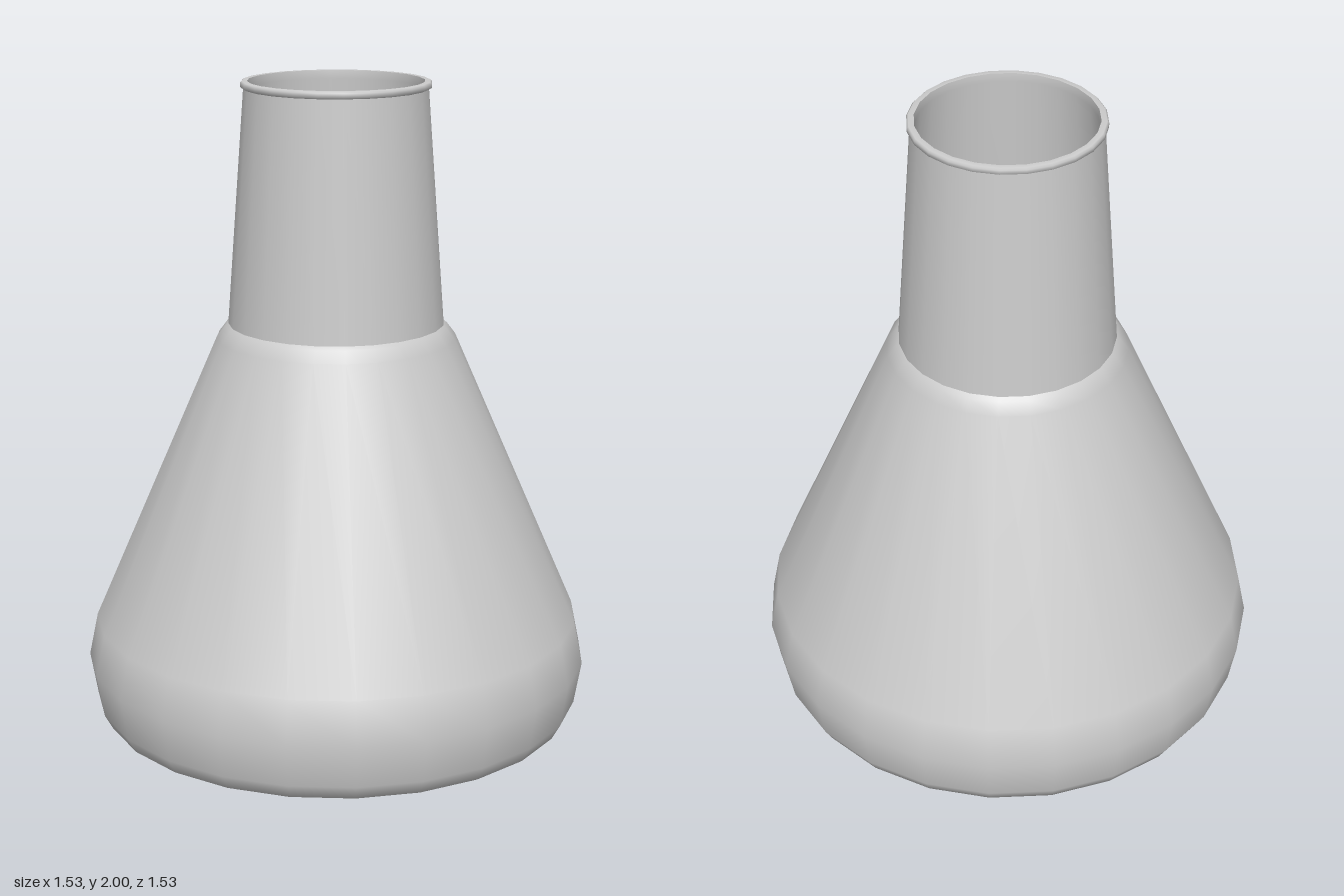
import * as THREE from 'three';

const SIDES = 24;
const material = new THREE.MeshStandardMaterial({ color: 0xcccccc });

// Revolve a profile of [radius, height] pairs; going upwards faces outwards
function turned(name, profile) {
  const points = profile.map(([r, y]) => new THREE.Vector2(r, y));
  const mesh = new THREE.Mesh(new THREE.LatheGeometry(points, SIDES), material);
  mesh.name = name;
  return mesh;
}

export function createModel() {
  const flask = new THREE.Group();
  flask.name = 'conicalFlask';

  flask.add(
    // Flat base, rounded heel, sloping cone and small shoulder
    turned('body', [
      [0, 0], [0.5, 0.003], [0.63, 0.018], [0.72, 0.06], [0.745, 0.105],
      [0.767, 0.235], [0.74, 0.365], [0.36, 1.237], [0.335, 1.27], [0.324, 1.28],
    ]),
    // Tapered neck, creased where it meets the shoulder
    turned('neck', [[0.324, 1.28], [0.272, 1.978]]),
    // Thin lip around the mouth
    turned('lip', [[0.272, 1.978], [0.281, 1.983], [0.281, 1.995], [0.276, 2], [0.26, 2]]),
    // Inside of the glass, running down from the mouth to the floor
    turned('innerNeck', [[0.26, 2], [0.258, 1.975], [0.308, 1.275]]),
    turned('innerBody', [
      [0.308, 1.275], [0.342, 1.228], [0.722, 0.36], [0.748, 0.235],
      [0.727, 0.11], [0.705, 0.075], [0.625, 0.036], [0.5, 0.02], [0, 0.02],
    ]),
  );
  return flask;
}
